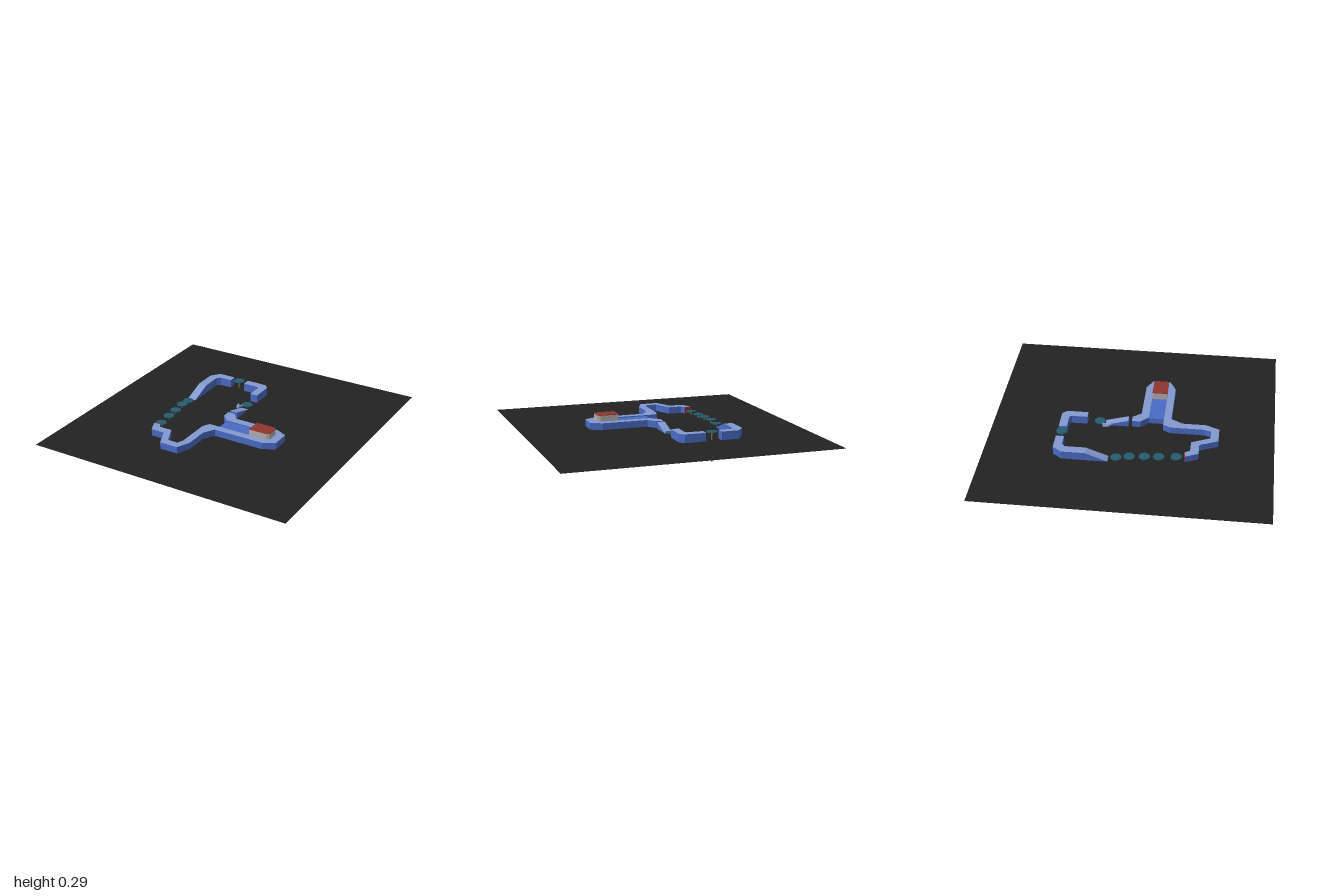
import * as THREE from 'three';

const mat = (name, color, side = THREE.FrontSide) => {
  const m = new THREE.MeshStandardMaterial({ color, side });
  m.name = name;
  return m;
};

export function createModel() {
  const group = new THREE.Group();
  const ground = mat('dark ground', 0x222222, THREE.DoubleSide);
  const light = mat('pale blue path', 0x8399cf);
  const blue = mat('blue wall', 0x4a6ac4);
  const teal = mat('teal pad', 0x245c6e);
  const wood = mat('brown pole', 0x70644a);
  const grey = mat('grey house wall', 0xb4acae);
  const red = mat('red roof', 0x90342c);
  const BASE = 0.196, LOW = 0.245, HIGH = 0.256;

  const add = (name, geometry, material, x = 0, y = 0, z = 0) => {
    const mesh = new THREE.Mesh(geometry, material);
    mesh.name = name;
    mesh.position.set(x, y, z);
    group.add(mesh);
    return mesh;
  };

  // Upright prism from an outline of [x, z] points
  const prism = (points, bottom, top) => {
    const shape = new THREE.Shape(points.map(([x, z]) => new THREE.Vector2(x, -z)));
    return new THREE.ExtrudeGeometry(shape, { depth: top - bottom, bevelEnabled: false })
      .rotateX(-Math.PI / 2).translate(0, bottom, 0);
  };
  const rect = (x0, x1, z0, z1) => [[x0, z0], [x1, z0], [x1, z1], [x0, z1]];

  // Strip whose top slopes along z from y0 to y1
  const ramp = (x0, x1, z0, z1, y0, y1) => {
    const g = prism(rect(x0, x1, z0, z1), BASE, 1);
    const p = g.attributes.position;
    for (let i = 0; i < p.count; i++) {
      if (p.getY(i) > 0.9) p.setY(i, y0 + (y1 - y0) * (p.getZ(i) - z0) / (z1 - z0));
    }
    g.computeVertexNormals();
    return g;
  };

  // Ground sheet
  add('ground', new THREE.PlaneGeometry(1.936, 2).rotateX(-Math.PI / 2), ground, 0, 0.195, 0);

  // Winding front path with the long loop around the deck
  add('frontPath', prism([
    [-0.035, -0.01], [0.016, -0.01], [0.063, 0.05], [0.397, 0.05], [0.478, 0.092],
    [0.478, 0.222], [0.392, 0.267], [0.02, 0.267], [-0.026, 0.35], [-0.026, 0.515],
    [-0.068, 0.612], [-0.203, 0.612], [-0.26, 0.484], [-0.36, 0.484], [-0.4, 0.397],
    [-0.35, 0.392], [-0.333, 0.425], [-0.235, 0.425], [-0.175, 0.556], [-0.1, 0.556],
    [-0.082, 0.51], [-0.082, 0.265], [-0.053, 0.214], [0.397, 0.214], [0.418, 0.198],
    [0.418, 0.118], [0.397, 0.106], [0.02, 0.106], [-0.035, 0.05],
  ], BASE, LOW), [light, blue]);
  add('endMarker', new THREE.BoxGeometry(0.05, LOW - BASE, 0.008), red, -0.375, (LOW + BASE) / 2, 0.391)
    .rotation.y = 0.1;

  // Deck and house inside the loop
  add('deck', prism(rect(0.02, 0.264, 0.106, 0.214), BASE, 0.238), blue);
  const house = [[0.264, 0.106], [0.397, 0.106], [0.418, 0.118], [0.418, 0.202], [0.397, 0.214], [0.264, 0.214]];
  add('houseWalls', prism(house, BASE, 0.288), grey);
  add('houseRoof', prism(house, 0.288, 0.292), red);

  // Raised corner paths at the back
  add('backRightPath', prism([
    [-0.28, -0.513], [-0.407, -0.513], [-0.455, -0.45], [-0.455, -0.285],
    [-0.392, -0.285], [-0.392, -0.434], [-0.37, -0.455], [-0.28, -0.455],
  ], BASE, HIGH), [light, blue]);
  add('backLeftPath', prism([
    [-0.165, -0.513], [-0.012, -0.513], [0.02, -0.48], [0.02, -0.328],
    [-0.037, -0.328], [-0.037, -0.44], [-0.05, -0.455], [-0.165, -0.455],
  ], BASE, HIGH), [light, blue]);

  // Ramps
  add('backRamp', ramp(-0.455, -0.392, -0.285, -0.13, HIGH, 0.198), [light, blue]);
  add('middleRamp', ramp(-0.037, 0.02, -0.2, -0.035, 0.198, LOW), [light, blue]);

  // Loose planks beside the middle ramp
  [[-0.066, -0.195, 0.2], [-0.055, -0.177, 0.5], [-0.046, -0.2, -0.3]].forEach(([x, z, turn]) => {
    add('loosePlank', new THREE.BoxGeometry(0.011, 0.012, 0.045), light, x, 0.208, z).rotation.y = turn;
  });

  // Stepping pads on poles: x, z, pad top, pole foot
  [
    [-0.418, -0.075, 0.215, 0], [-0.413, 0.015, 0.226, 0.015], [-0.402, 0.118, 0.226, 0.015],
    [-0.394, 0.216, 0.226, 0.015], [-0.381, 0.335, 0.226, 0.015],
    [-0.22, -0.482, 0.257, 0.045], [-0.011, -0.24, 0.214, 0],
  ].forEach(([x, z, top, foot]) => {
    const length = top - 0.005 - foot;
    add('steppingPad', new THREE.CylinderGeometry(0.039, 0.039, 0.006, 12), teal, x, top - 0.003, z);
    add('padPole', new THREE.CylinderGeometry(0.006, 0.006, length, 8), wood, x, foot + length / 2, z);
  });

  return group;
}
